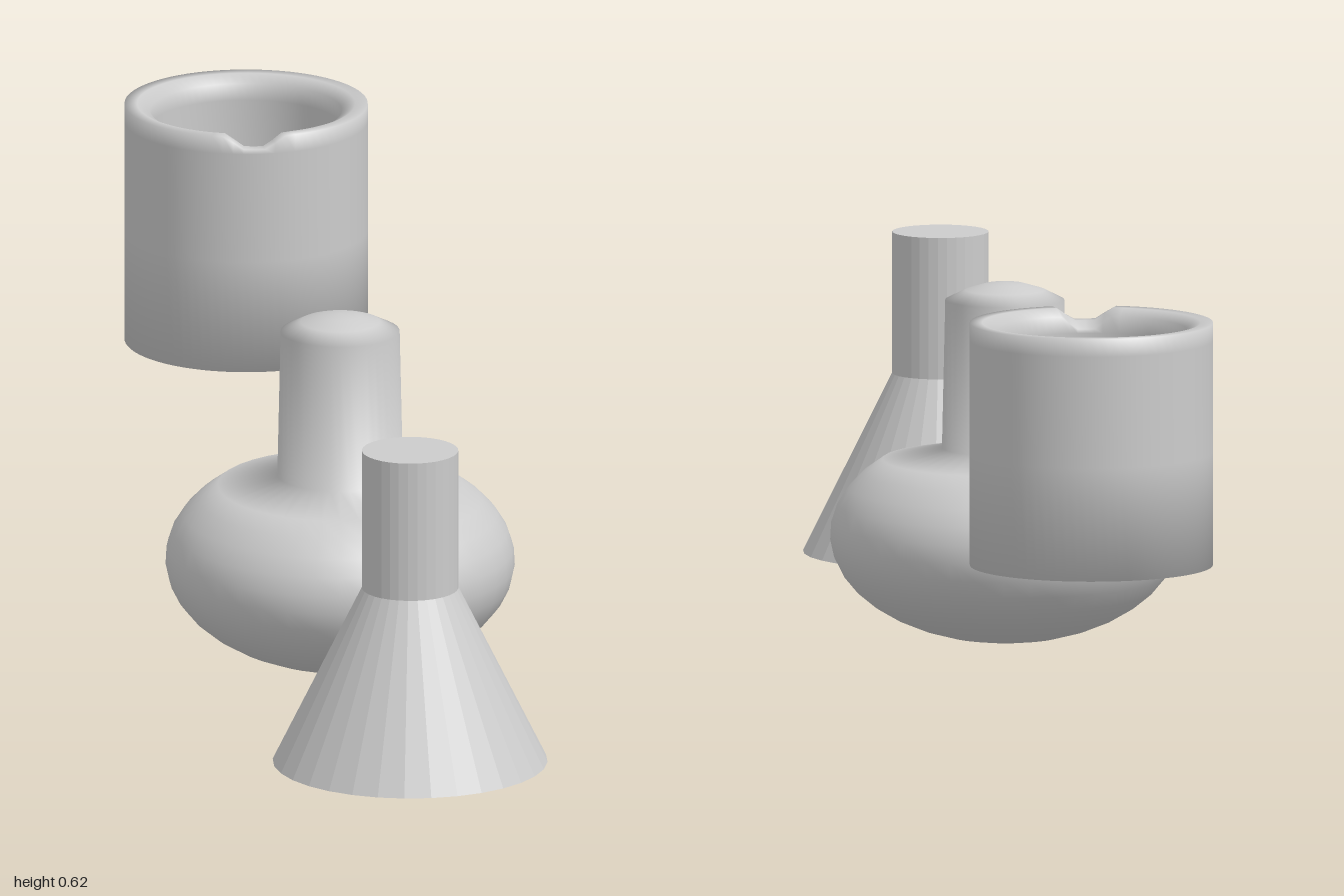
import * as THREE from 'three';
import { mergeVertices } from 'three/addons/utils/BufferGeometryUtils.js';

// Lathe a list of [radius, y] pairs, move vertices by an optional rule, weld the seam.
function turned(name, profile, segments, z, flatShading = false, rule = null) {
  const points = profile.map(([r, y]) => new THREE.Vector2(r, y));
  let geometry = new THREE.LatheGeometry(points, segments, Math.PI);
  geometry.deleteAttribute('uv');
  geometry.deleteAttribute('normal');
  if (rule) {
    const pos = geometry.attributes.position;
    const v = new THREE.Vector3();
    for (let i = 0; i < pos.count; i++) {
      rule(v.fromBufferAttribute(pos, i));
      pos.setXYZ(i, v.x, v.y, v.z);
    }
  }
  geometry = mergeVertices(geometry, 1e-5);
  geometry.computeVertexNormals();
  const mesh = new THREE.Mesh(geometry, new THREE.MeshStandardMaterial({ color: 0xcccccc, flatShading }));
  mesh.name = name;
  mesh.position.z = z;
  return mesh;
}

export function createModel() {
  const group = new THREE.Group();
  group.name = 'laboratoryGlassware';

  // Conical flask: faceted, solid, with a straight neck
  group.add(turned('conicalFlask', [
    [0, 0.043], [0.208, 0.043], [0.073, 0.315], [0.073, 0.531], [0, 0.531],
  ], 32, 0.79, true));

  // Round flask: squashed bulb cut off by a shallow shoulder, domed neck
  const bulb = [];
  const steps = 14, end = Math.PI * 0.753;
  for (let i = 0; i <= steps; i++) {
    const a = (i / steps) * end;
    bulb.push([0.264 * Math.sin(a), 0.164 - 0.162 * Math.cos(a)]);
  }
  bulb[0][1] = 0;
  group.add(turned('roundFlask', [
    ...bulb,
    [0.095, 0.297], [0.09, 0.523], [0.06, 0.538], [0.03, 0.547], [0, 0.55],
  ], 40, 0.105, false, (v) => {
    if (v.y < 0.29) v.z *= 1.06; // the bulb is slightly deeper than wide
  }));

  // Beaker: thick wall, with a pouring notch dipped into the front of the rim
  const top = 0.617;
  group.add(turned('beaker', [
    [0, 0.247], [0.184, 0.247], [0.184, 0.42], [0.184, 0.59], [0.184, top],
    [0.165, top], [0.145, 0.606], [0.145, 0.58], [0.145, 0.29], [0.13, 0.275], [0, 0.275],
  ], 72, -0.816, false, (v) => {
    if (v.y < 0.6) return;
    const offset = Math.abs(Math.atan2(v.x, v.z) + 0.08);
    v.y -= 0.02 * THREE.MathUtils.clamp((0.26 - offset) / 0.17, 0, 1);
  }));

  return group;
}
